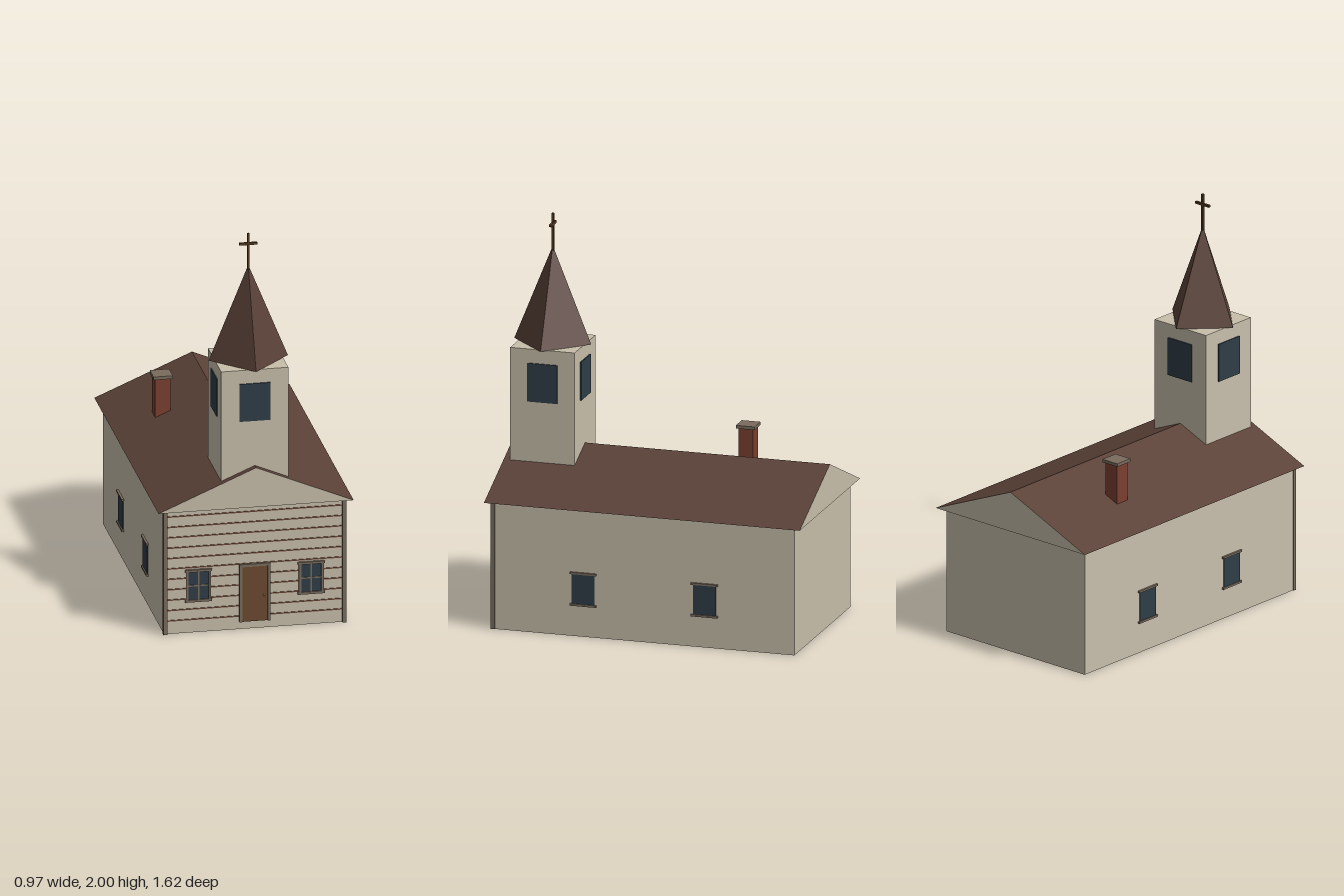
import * as THREE from 'three';

const mat = (color) => new THREE.MeshStandardMaterial({ color, flatShading: true });
const cream = mat(0xc8bfab), roofBrown = mat(0x5a4137), glass = mat(0x2f3d47), trim = mat(0x7a6c5e);
const brick = mat(0x7a4030), doorWood = mat(0x6b4a31), plankLine = mat(0x76503f), darkWood = mat(0x54391f), brass = mat(0xb8903c);

function add(parent, name, geometry, material, x = 0, y = 0, z = 0) {
  const mesh = new THREE.Mesh(geometry, material);
  mesh.name = name;
  mesh.position.set(x, y, z);
  parent.add(mesh);
  return mesh;
}

function box(parent, name, material, w, h, d, x, y, z) {
  return add(parent, name, new THREE.BoxGeometry(w, h, d), material, x, y, z);
}

// Flat faces from convex corner loops, counter-clockwise seen from outside
function faces(loops) {
  const points = [];
  for (const loop of loops)
    for (let i = 1; i < loop.length - 1; i++) points.push(...loop[0], ...loop[i], ...loop[i + 1]);
  const geometry = new THREE.BufferGeometry();
  geometry.setAttribute('position', new THREE.Float32BufferAttribute(points, 3));
  geometry.computeVertexNormals();
  return geometry;
}

function group(parent, name, x = 0, y = 0, z = 0) {
  const g = new THREE.Group();
  g.name = name;
  g.position.set(x, y, z);
  parent.add(g);
  return g;
}

export function createModel() {
  const church = group(new THREE.Group(), 'church');
  church.removeFromParent();

  // Nave walls
  box(church, 'walls', cream, 0.9, 0.645, 1.54, 0, 0.3225, 0);

  // Gable roof: brown slopes, pale ends and underside
  const w = 0.485, e = 0.645, r = 0.85, d = 0.808;
  const [LF, RF, TF] = [[-w, e, d], [w, e, d], [0, r, d]];
  const [LB, RB, TB] = [[-w, e, -d], [w, e, -d], [0, r, -d]];
  add(church, 'roofSlopes', faces([[RF, RB, TB, TF], [LB, LF, TF, TB]]), roofBrown);
  add(church, 'gables', faces([[LF, RF, TF], [RB, LB, TB], [LB, RB, RF, LF]]), cream);

  // Clapboard lines on the front
  for (let i = 0; i < 11; i++)
    box(church, 'clapboardLine', plankLine, 0.87, 0.006, 0.006, 0, 0.068 + i * 0.0542, 0.771);

  // Corner boards
  for (const s of [-1, 1])
    box(church, 'cornerBoard', trim, 0.02, 0.645, 0.02, s * 0.445, 0.3225, 0.773);

  // Front door with its frame and knob
  const door = group(church, 'door', 0, 0.04, 0.77);
  box(door, 'doorPanel', doorWood, 0.13, 0.286, 0.016, 0, 0.143, 0.002);
  for (const s of [-1, 1]) box(door, 'doorJamb', trim, 0.014, 0.3, 0.03, s * 0.07, 0.15, 0);
  box(door, 'doorLintel', trim, 0.154, 0.014, 0.03, 0, 0.293, 0);
  add(door, 'doorKnob', new THREE.SphereGeometry(0.006, 8, 6), brass, 0.045, 0.135, 0.013);

  // Front windows with crossed glazing bars
  for (const s of [-1, 1]) {
    const win = group(church, 'frontWindow', s * 0.28, 0.245, 0.77);
    box(win, 'pane', glass, 0.11, 0.15, 0.012, 0, 0, 0);
    for (const k of [-1, 1]) {
      box(win, 'windowJamb', trim, 0.012, 0.16, 0.024, k * 0.056, 0, 0);
      box(win, 'windowRail', trim, 0.134, 0.012, 0.026, 0, k * 0.078, 0);
    }
    box(win, 'mullion', trim, 0.007, 0.15, 0.018, 0, 0, 0);
    box(win, 'glazingBar', trim, 0.11, 0.007, 0.018, 0, 0, 0);
  }

  // Side windows with lintel and sill
  for (const s of [-1, 1])
    for (const z of [-0.31, 0.31]) {
      const win = group(church, 'sideWindow', s * 0.45, 0.24, z);
      box(win, 'pane', glass, 0.01, 0.155, 0.116, 0, 0, 0);
      for (const k of [-1, 1]) box(win, 'windowRail', trim, 0.022, 0.01, 0.136, 0, k * 0.08, 0);
    }

  // Bell tower with an opening on each face
  const tower = group(church, 'tower', 0, 0, 0.61);
  box(tower, 'towerWalls', cream, 0.334, 0.65, 0.33, 0, 1.025, 0);
  for (let i = 0; i < 4; i++) {
    const a = i * Math.PI / 2;
    const win = box(tower, 'towerWindow', glass, 0.154, 0.195, 0.012, Math.sin(a) * 0.167, 1.182, Math.cos(a) * 0.165);
    win.rotation.y = a;
  }

  // Four-sided spire, its corners over the tower faces, topped by a cross
  add(tower, 'spire', new THREE.ConeGeometry(0.197, 0.485, 4), roofBrown, 0, 1.5925, 0);
  box(tower, 'crossPost', darkWood, 0.012, 0.19, 0.012, 0, 1.905, 0);
  box(tower, 'crossArm', darkWood, 0.088, 0.012, 0.012, 0, 1.946, 0);

  // Chimney
  box(church, 'chimneyStack', brick, 0.076, 0.27, 0.076, -0.25, 0.795, -0.31);
  box(church, 'chimneyCap', trim, 0.096, 0.016, 0.096, -0.25, 0.936, -0.31);

  return church;
}
